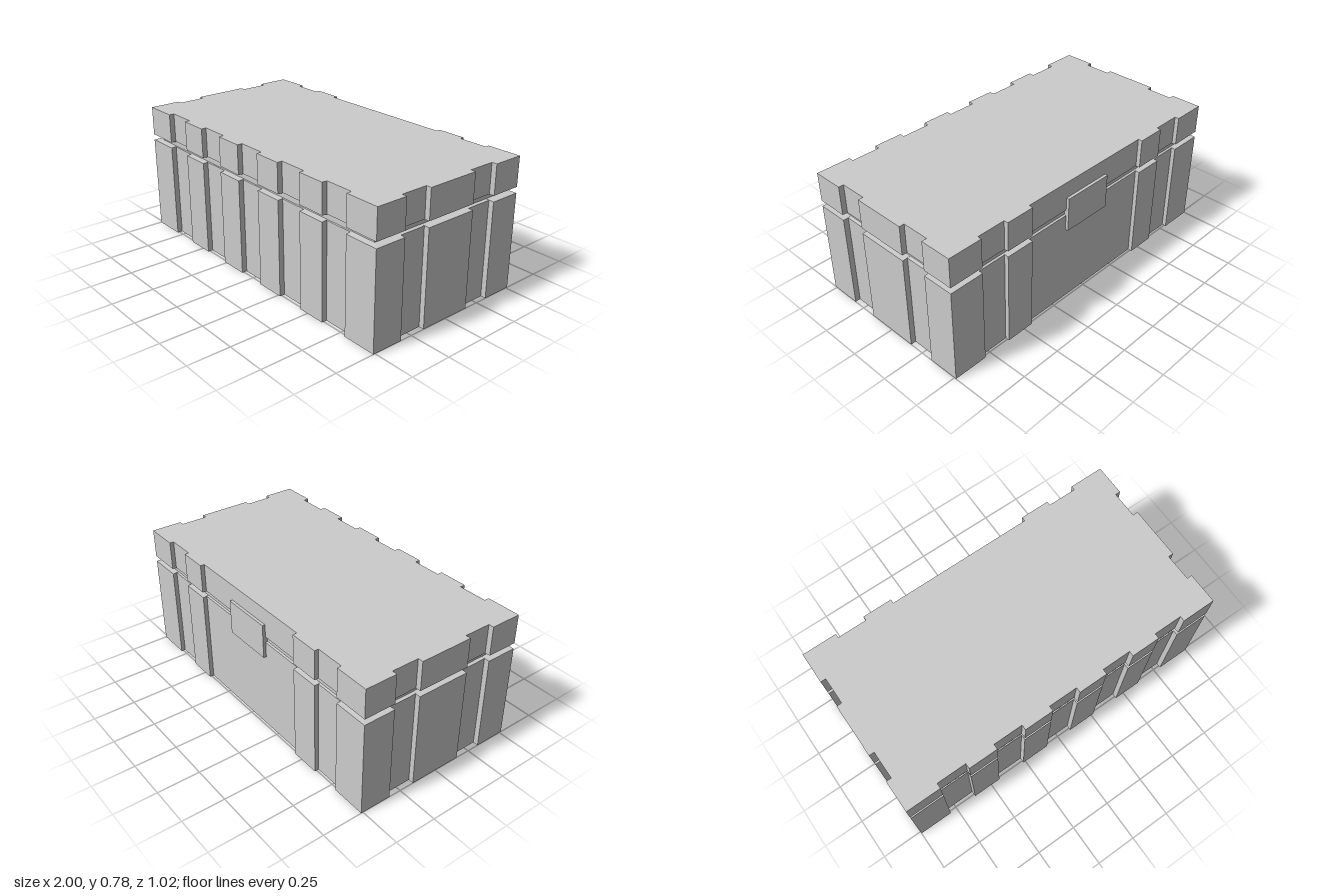
import * as THREE from 'three';

const material = new THREE.MeshStandardMaterial({ color: 0xcccccc, flatShading: true, side: THREE.DoubleSide });

const HX = 1, HZ = 0.512;          // half width and half depth
const BODY_TOP = 0.568, LID_BOTTOM = 0.603, LID_TOP = 0.778;

// Steps along one wall: pairs [start, end] are notches cut inwards by depth
function notchedEdge(half, notches, depth) {
  const pts = [[-half, 0]];
  for (const [a, b] of notches) pts.push([a, 0], [a, depth], [b, depth], [b, 0]);
  return pts;
}

// Ribbed outline as [x, z], running front, +x side, back, -x side
function ribbedOutline() {
  const front = notchedEdge(HX, [[-0.793, -0.618], [-0.442, -0.265], [-0.088, 0.088], [0.265, 0.442], [0.618, 0.793]], 0.031);
  const back = notchedEdge(HX, [[-0.793, -0.618], [-0.442, 0.442], [0.618, 0.793]], 0.025);
  const side = notchedEdge(HZ, [[-0.324, -0.161], [0.161, 0.324]], 0.031);
  return [
    ...front.map(([t, d]) => [t, HZ - d]),
    ...side.map(([t, d]) => [HX - d, -t]),
    ...back.map(([t, d]) => [-t, -HZ + d]),
    ...side.map(([t, d]) => [-HX + d, t]),
  ];
}

// Open band of quads through a stack of rings { y, pts }
function band(rings) {
  const pos = [];
  for (let r = 0; r < rings.length - 1; r++) {
    const lo = rings[r], hi = rings[r + 1], n = lo.pts.length;
    for (let i = 0; i < n; i++) {
      const j = (i + 1) % n;
      const v = (ring, k) => [ring.pts[k][0], ring.y, ring.pts[k][1]];
      pos.push(...v(lo, i), ...v(lo, j), ...v(hi, j), ...v(lo, i), ...v(hi, j), ...v(hi, i));
    }
  }
  const g = new THREE.BufferGeometry();
  g.setAttribute('position', new THREE.Float32BufferAttribute(pos, 3));
  g.computeVertexNormals();
  return g;
}

export function createModel() {
  const model = new THREE.Group();
  model.name = 'ribbedCase';
  const add = (name, geometry) => {
    const mesh = new THREE.Mesh(geometry, material);
    mesh.name = name;
    model.add(mesh);
    return mesh;
  };

  const outer = ribbedOutline();
  const clamp = THREE.MathUtils.clamp;
  const inner = outer.map(([x, z]) => [clamp(x, -0.95, 0.95), clamp(z, -0.475, 0.475)]);

  // Ribbed walls, open underneath
  add('bodyWalls', band([{ y: 0, pts: outer }, { y: BODY_TOP, pts: outer }]));

  // Recessed seam with its two ledges
  add('seamGroove', band([
    { y: BODY_TOP, pts: outer },
    { y: BODY_TOP + 0.003, pts: inner },
    { y: LID_BOTTOM - 0.003, pts: inner },
    { y: LID_BOTTOM, pts: outer },
  ]));

  // Lid rim and flat top
  add('lidWalls', band([{ y: LID_BOTTOM, pts: outer }, { y: LID_TOP, pts: outer }]));
  const shape = new THREE.Shape(outer.map(([x, z]) => new THREE.Vector2(x, -z)));
  add('lidTop', new THREE.ShapeGeometry(shape).rotateX(-Math.PI / 2)).position.y = LID_TOP;

  // Latch plate bridging the seam at the back
  add('latchPlate', new THREE.BoxGeometry(0.316, 0.205, 0.029)).position.set(0, 0.578, -0.4895);

  return model;
}
